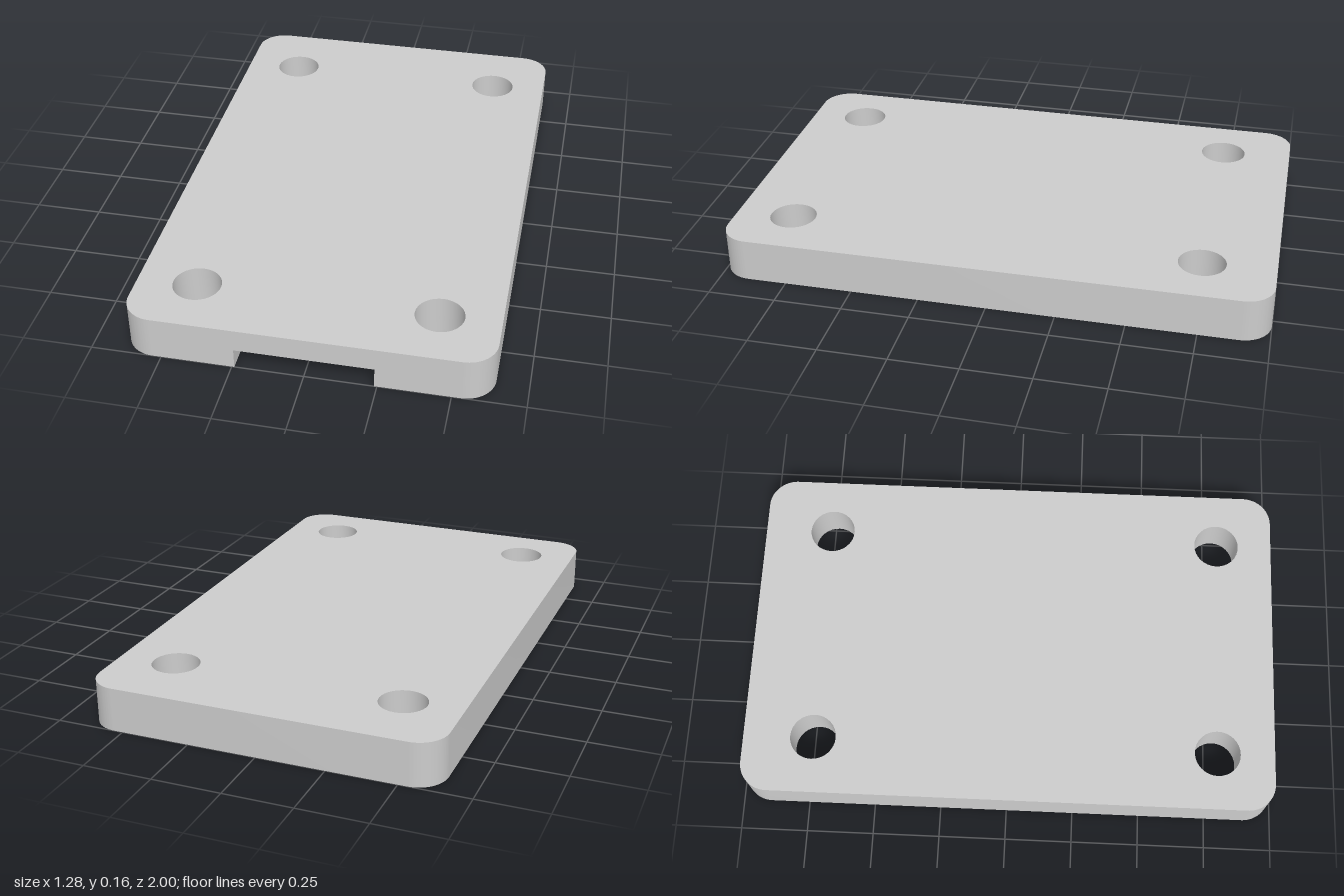
import * as THREE from 'three';
import { mergeGeometries, toCreasedNormals } from 'three/addons/utils/BufferGeometryUtils.js';

const W = 0.638, L = 1, H = 0.16;              // half width, half length, height
const R = 0.106;                               // corner radius
const SLOT_W = 0.241, SLOT_H = 0.075, SLOT_END = 0.09;
const HOLE_R = 0.086, HOLE_X = 0.425, HOLE_Z = [-0.737, 0.785];

// Rounded plate outline in x and z with four screw holes; the lower layer is notched at the front
function plateShape(notched) {
  const s = new THREE.Shape();
  const q = Math.PI / 2;
  s.moveTo(-W + R, -L);
  s.lineTo(W - R, -L);
  s.absarc(W - R, -L + R, R, -q, 0);
  s.lineTo(W, L - R);
  s.absarc(W - R, L - R, R, 0, q);
  s.lineTo(SLOT_W, L);
  if (notched) {
    s.lineTo(SLOT_W, SLOT_END);
    s.lineTo(-SLOT_W, SLOT_END);
  }
  s.lineTo(-SLOT_W, L);
  s.lineTo(-W + R, L);
  s.absarc(-W + R, L - R, R, q, 2 * q);
  s.lineTo(-W, -L + R);
  s.absarc(-W + R, -L + R, R, 2 * q, 3 * q);
  for (const x of [-HOLE_X, HOLE_X]) {
    for (const z of HOLE_Z) {
      s.holes.push(new THREE.Path().absarc(x, z, HOLE_R, 0, Math.PI * 2, true));
    }
  }
  return s;
}

// Extrude a layer upright and drop the hidden cap where the two layers meet
function layer(notched, y0, y1) {
  const g = new THREE.ExtrudeGeometry(plateShape(notched), {
    depth: y1 - y0, bevelEnabled: false, curveSegments: 16,
  });
  g.rotateX(Math.PI / 2).translate(0, y1, 0);
  const p = g.attributes.position;
  const kept = [];
  for (let i = 0; i < p.count; i += 3) {
    const tri = [i, i + 1, i + 2];
    if (tri.every((k) => Math.abs(p.getY(k) - SLOT_H) < 1e-5)) continue;
    for (const k of tri) kept.push(p.getX(k), p.getY(k), p.getZ(k));
  }
  return new THREE.BufferGeometry().setAttribute('position', new THREE.Float32BufferAttribute(kept, 3));
}

export function createModel() {
  const group = new THREE.Group();
  group.name = 'mountingPlate';
  const grey = new THREE.MeshStandardMaterial({ color: 0xcccccc });
  grey.name = 'light grey';

  // Plate body with holes and the slot walls
  const body = toCreasedNormals(
    mergeGeometries([layer(true, 0, SLOT_H), layer(false, SLOT_H, H)]), 0.6);
  const plate = new THREE.Mesh(body, grey);
  plate.name = 'plate';

  // Downward face at the top of the slot
  const ceiling = new THREE.PlaneGeometry(2 * SLOT_W, L - SLOT_END);
  ceiling.rotateX(Math.PI / 2).translate(0, SLOT_H, (L + SLOT_END) / 2);
  const slot = new THREE.Mesh(ceiling, grey);
  slot.name = 'slotCeiling';

  group.add(plate, slot);
  return group;
}
